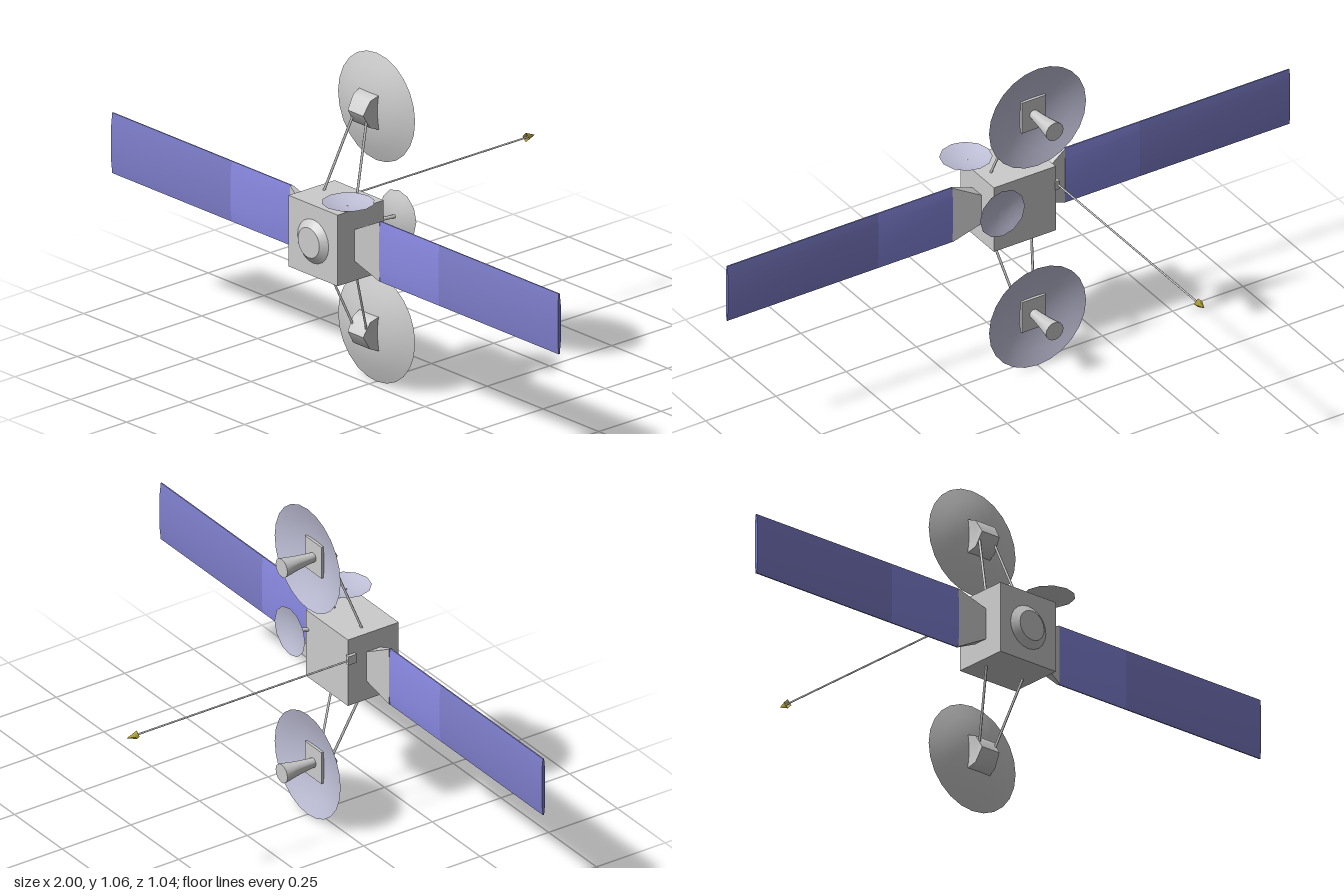
import * as THREE from 'three';
import { toCreasedNormals } from 'three/addons/utils/BufferGeometryUtils.js';

const mat = (color, side = THREE.FrontSide) => new THREE.MeshStandardMaterial({ color, side });
const grey = mat(0xcccccc);
const dishInner = mat(0xc0c0d8);
const panelInner = mat(0x8a8ae4);
const panelOuter = mat(0x7e7ecc);
const tipYellow = mat(0xb8a83c, THREE.DoubleSide);

function add(parent, name, geometry, material = grey, x = 0, y = 0, z = 0) {
  const mesh = new THREE.Mesh(geometry, material);
  mesh.name = name;
  mesh.position.set(x, y, z);
  parent.add(mesh);
  return mesh;
}

// Straight round rod between two points
function rod(parent, name, a, b, r, r2 = r, sides = 6) {
  const from = new THREE.Vector3(...a), to = new THREE.Vector3(...b);
  const dir = to.clone().sub(from);
  const mesh = add(parent, name, new THREE.CylinderGeometry(r2, r, dir.length(), sides));
  mesh.position.copy(from).add(to).multiplyScalar(0.5);
  mesh.quaternion.setFromUnitVectors(new THREE.Vector3(0, 1, 0), dir.normalize());
  return mesh;
}

// Shallow bowl opening towards +y, apex at the origin
function makeDish(name, r, depth, sides) {
  const dish = new THREE.Group();
  dish.name = name;
  const curve = (lift) => [0, 0.25, 0.5, 0.75, 1].map(
    (t) => new THREE.Vector2(r * t, lift + (depth - lift) * t * t));
  add(dish, 'dishBack', new THREE.LatheGeometry(curve(0), sides));
  add(dish, 'dishFace', new THREE.LatheGeometry(curve(0.003).reverse(), sides), dishInner);
  return dish;
}

// Prism along x from a list of [z, y] points, centred on x = 0
function prismX(points, width) {
  const shape = new THREE.Shape(points.map(([z, y]) => new THREE.Vector2(-z, y)));
  return new THREE.ExtrudeGeometry(shape, { depth: width, bevelEnabled: false })
    .rotateY(Math.PI / 2).translate(-width / 2, 0, 0);
}

// Large dish with rear hub, feed horn and two struts to the body
function makeLargeDish(name, y, bodyY, hubEdgeY) {
  const group = new THREE.Group();
  group.name = name;
  const dish = makeDish('reflector', 0.1725, 0.036, 24);
  dish.rotation.x = -Math.PI / 2;
  dish.position.set(0, y, 0.256);
  group.add(dish);

  // Hub: faceted half drum, narrowing towards its ridge
  const hub = prismX([[0.24, -0.054], [0.252, -0.054], [0.28, -0.043], [0.305, 0],
    [0.28, 0.043], [0.252, 0.054], [0.24, 0.054]], 0.086);
  const p = hub.attributes.position;
  for (let i = 0; i < p.count; i++) {
    p.setX(i, p.getX(i) * (1 - 0.2 * Math.max(0, p.getZ(i) - 0.252) / 0.053));
  }
  add(group, 'hub', toCreasedNormals(hub, 0.9), grey, 0, y, 0);

  // Feed horn
  const horn = [[0, 0], [0.014, 0], [0.017, 0.034], [0.022, 0.075], [0.031, 0.128], [0, 0.128]]
    .map(([r, h]) => new THREE.Vector2(r, h));
  const hornGeometry = toCreasedNormals(new THREE.LatheGeometry(horn, 16), 0.7).rotateX(-Math.PI / 2);
  add(group, 'feedHorn', hornGeometry, grey, 0, y, 0.253);

  for (const s of [-1, 1]) {
    rod(group, 'strut', [s * 0.072, bodyY, 0.368], [s * 0.03, hubEdgeY, 0.287], 0.004);
  }
  return group;
}

// Solar wing reaching towards +x
function makeWing(name) {
  const wing = new THREE.Group();
  wing.name = name;

  // Neck flares from the body to the panel
  const neck = new THREE.BoxGeometry(1, 1, 1);
  const p = neck.attributes.position;
  for (let i = 0; i < p.count; i++) {
    const atPanel = p.getX(i) > 0;
    p.setXYZ(i, atPanel ? 0.2 : 0.105,
      Math.sign(p.getY(i)) * (atPanel ? 0.096 : 0.048),
      Math.sign(p.getZ(i)) * (atPanel ? 0.005 : 0.026));
  }
  neck.computeVertexNormals();
  add(wing, 'wingNeck', neck);

  // Thin panels with tapered long edges
  const section = [[0.002, -0.097], [0.006, -0.06], [0.006, 0.06], [0.002, 0.097],
    [-0.002, 0.097], [-0.006, 0.06], [-0.006, -0.06], [-0.002, -0.097]];
  for (const [label, x0, x1, m] of [['innerPanel', 0.2, 0.465, panelInner],
    ['outerPanel', 0.465, 1, panelOuter]]) {
    add(wing, label, toCreasedNormals(prismX(section, x1 - x0), 0.5), m, (x0 + x1) / 2);
  }
  return wing;
}

export function createModel() {
  const model = new THREE.Group();
  model.name = 'satellite';

  // Body and front nozzle cap
  add(model, 'body', new THREE.BoxGeometry(0.22, 0.228, 0.185), grey, 0, 0.518, 0.3825);
  const cap = new THREE.CylinderGeometry(0.048, 0.07, 0.018, 20).rotateX(Math.PI / 2);
  add(model, 'frontCap', cap, grey, 0, 0.516, 0.484);

  // Solar wings
  for (const s of [1, -1]) {
    const wing = makeWing(s > 0 ? 'leftWing' : 'rightWing');
    wing.position.set(0, 0.518, 0.383);
    if (s < 0) wing.rotation.y = Math.PI;
    model.add(wing);
  }

  // Large dishes above and below
  model.add(makeLargeDish('upperDish', 0.883, 0.628, 0.865));
  model.add(makeLargeDish('lowerDish', 0.1725, 0.408, 0.19));

  // Small dish on top
  const topDish = makeDish('topDish', 0.08, 0.016, 12);
  topDish.position.set(0.115, 0.65, 0.437);
  model.add(topDish);
  rod(model, 'topDishPost', [0.095, 0.622, 0.435], [0.115, 0.652, 0.437], 0.006);

  // Small dish on the rear
  const rearDish = makeDish('rearDish', 0.08, 0.016, 12);
  rearDish.rotation.x = -Math.PI / 2;
  rearDish.position.set(0.115, 0.572, 0.251);
  model.add(rearDish);
  rod(model, 'rearDishPost', [0.098, 0.568, 0.295], [0.115, 0.572, 0.25], 0.006);

  // Long rear antenna with an arrow-shaped tip
  add(model, 'antennaMount', new THREE.BoxGeometry(0.014, 0.03, 0.03), grey, -0.113, 0.565, 0.3);
  rod(model, 'antennaRod', [-0.117, 0.565, 0.3], [-0.117, 0.565, -0.5], 0.003);
  const tip = new THREE.ConeGeometry(0.015, 0.036, 4, 1, true).rotateX(-Math.PI / 2);
  add(model, 'antennaTip', tip, tipYellow, -0.117, 0.565, -0.502);

  return model;
}
